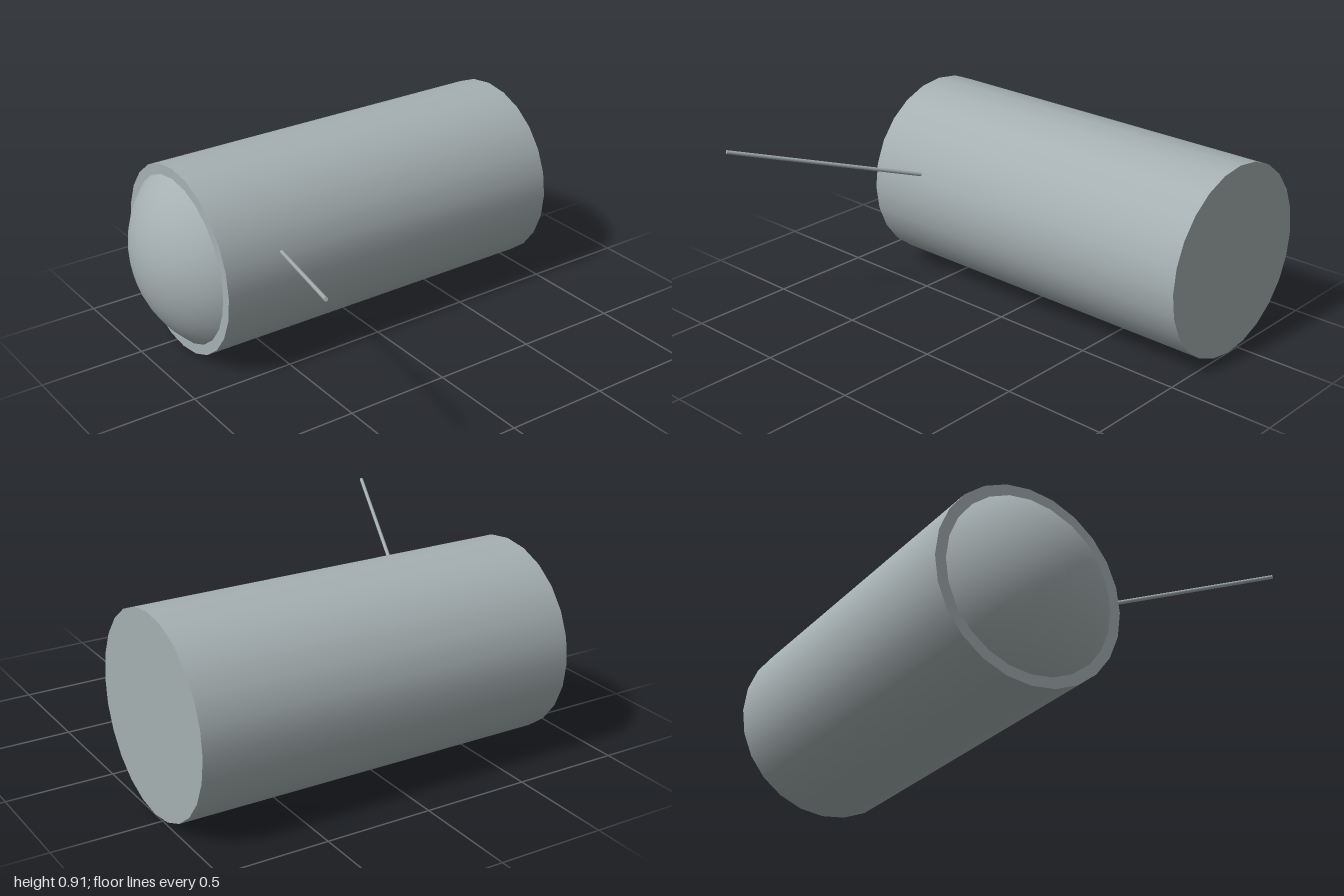
import * as THREE from 'three';

export function createModel() {
  const group = new THREE.Group();
  const grey = new THREE.MeshStandardMaterial({ color: 0xa6b0b2 });
  grey.name = 'cool grey';
  const cx = -0.43, cy = 0.455, rimZ = 0.815, backZ = -1;

  const add = (name, geometry) => {
    const mesh = new THREE.Mesh(geometry, grey);
    mesh.name = name;
    group.add(mesh);
    return mesh;
  };

  // Solid cylindrical body lying along z
  const body = add('body', new THREE.CylinderGeometry(0.455, 0.455, rimZ - backZ, 24).rotateX(Math.PI / 2));
  body.position.set(cx, cy, (rimZ + backZ) / 2);

  // Shallow spherical cap bulging from the front face
  const capRadius = 0.405, capHeight = 1 - rimZ;
  const R = (capRadius ** 2 + capHeight ** 2) / (2 * capHeight);
  const dome = add('frontDome', new THREE.SphereGeometry(
    R, 24, 8, 0, Math.PI * 2, 0, Math.asin(capRadius / R)).rotateX(Math.PI / 2));
  dome.position.set(cx, cy, 1 - R);

  // Thin rod slanting outward from the side, rooted just inside the body
  const start = new THREE.Vector3(-0.04, 0.577, 0.507);
  const end = new THREE.Vector3(0.874, 0.86, 0.873);
  const along = end.clone().sub(start);
  const rod = add('sideRod', new THREE.CylinderGeometry(0.009, 0.009, along.length(), 8));
  rod.position.copy(start).add(end).multiplyScalar(0.5);
  rod.quaternion.setFromUnitVectors(new THREE.Vector3(0, 1, 0), along.normalize());

  return group;
}
